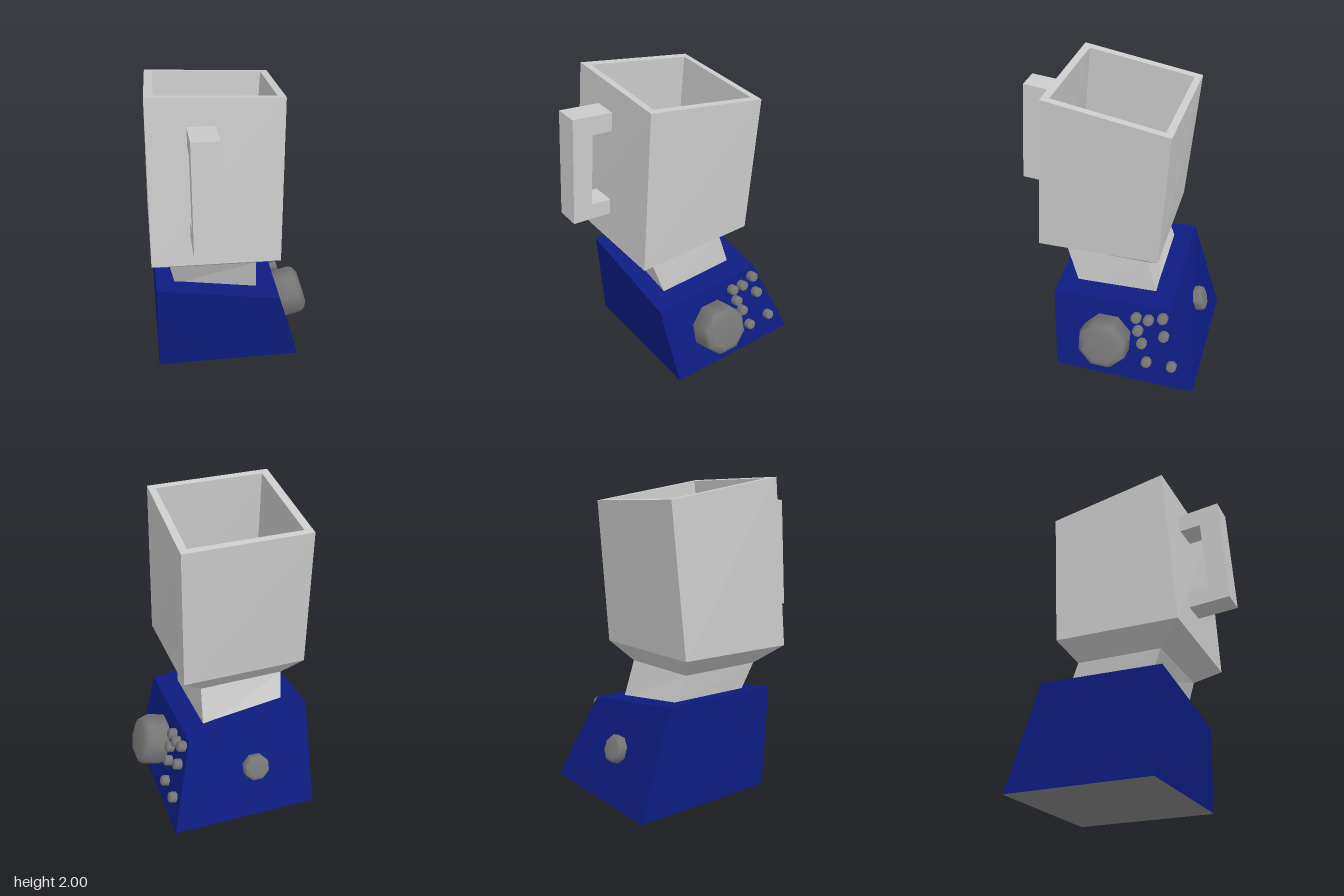
import * as THREE from 'three';

const GREY = new THREE.MeshStandardMaterial({ color: 0xcccccc, flatShading: true });
const BLUE = new THREE.MeshStandardMaterial({ color: 0x0e1c80, flatShading: true });
const DARK = new THREE.MeshStandardMaterial({ color: 0x777777 });
const UNDER = new THREE.MeshStandardMaterial({ color: 0x888888, flatShading: true });

// Skin four-cornered rings (front left, front right, back right, back left as seen from the front).
function loft(rings, capStart, capEnd) {
  const pos = [];
  const quad = (a, b, c, d) => pos.push(...a, ...b, ...c, ...a, ...c, ...d);
  for (let r = 0; r < rings.length - 1; r++) {
    for (let i = 0; i < 4; i++) {
      const j = (i + 1) % 4;
      quad(rings[r][i], rings[r][j], rings[r + 1][j], rings[r + 1][i]);
    }
  }
  if (capStart) quad(...[...rings[0]].reverse());
  if (capEnd) quad(...rings[rings.length - 1]);
  const g = new THREE.BufferGeometry();
  g.setAttribute('position', new THREE.Float32BufferAttribute(pos, 3));
  g.computeVertexNormals();
  return g;
}

// Eight-sided bevelled knob; its axis is +y and its outer face lies at the given height.
function knobGeometry(radius, height, depth) {
  const r = radius / Math.cos(Math.PI / 8);
  const profile = [[0, -depth], [0.7, -depth], [1, -depth * 0.7], [1, height * 0.68],
    [0.9, height * 0.87], [0.67, height], [0, height]]
    .map(([x, y]) => new THREE.Vector2(x * r, y));
  return new THREE.LatheGeometry(profile, 8, Math.PI / 8);
}

export function createModel() {
  const model = new THREE.Group();
  const add = (name, geometry, material, parent = model) => {
    const mesh = new THREE.Mesh(geometry, material);
    mesh.name = name;
    parent.add(mesh);
    return mesh;
  };

  // Motor base with sloping top, right side and back
  const foot = [[-0.535, 0, 0.285], [0.44, 0, 0.285], [0.44, 0, -0.69], [-0.535, 0, -0.69]];
  const baseTop = [[-0.525, 0.66, 0.335], [0.29, 0.53, 0.335], [0.275, 0.55, -0.475], [-0.53, 0.675, -0.475]];
  add('base', loft([foot, baseTop], false, true), BLUE);
  add('baseUnderside', loft([foot], true, false), UNDER);

  // Leaning neck
  const neckLow = [[-0.4, 0.62, 0.2], [0.15, 0.53, 0.2], [0.14, 0.54, -0.355], [-0.405, 0.63, -0.355]];
  const neckTop = [[-0.43, 0.81, 0.285], [0.13, 0.8, 0.285], [0.13, 0.8, -0.275], [-0.43, 0.815, -0.275]];
  add('neck', loft([neckLow, neckTop], true, true), GREY);

  // Open jar: flared foot, outer walls, rim, inner walls and floor
  add('jar', loft([
    neckTop,
    [[-0.548, 0.925, 0.445], [0.265, 0.905, 0.435], [0.272, 0.925, -0.375], [-0.548, 0.94, -0.37]],
    [[-0.535, 2.0, 0.347], [0.275, 1.97, 0.367], [0.294, 1.85, -0.43], [-0.515, 1.88, -0.45]],
    [[-0.48, 1.991, 0.3], [0.23, 1.965, 0.32], [0.245, 1.857, -0.385], [-0.465, 1.884, -0.405]],
    [[-0.5, 1.0, 0.385], [0.19, 0.98, 0.38], [0.2, 0.99, -0.335], [-0.485, 1.01, -0.345]],
  ], false, true), GREY);

  // C-shaped handle, drawn from the side and extruded across the jar front
  const side = [[0.355, 1.817], [0.64, 1.845], [0.69, 1.14], [0.4, 1.118],
    [0.4, 1.222], [0.555, 1.235], [0.515, 1.71], [0.355, 1.698]];
  const handleShape = new THREE.Shape(side.map(([z, y]) => new THREE.Vector2(-z, y)));
  const handle = new THREE.ExtrudeGeometry(handleShape, { depth: 0.165, bevelEnabled: false });
  handle.rotateY(Math.PI / 2).translate(-0.3, 0, 0);
  add('handle', handle, GREY);

  // Knobs and buttons stand square to the sloping faces
  const up = new THREE.Vector3(0, 1, 0);
  const sideNormal = new THREE.Vector3(1, 0.28, 0).normalize();
  const backNormal = new THREE.Vector3(0, 0.35, -1).normalize();
  const place = (mesh, normal, x, y, z) => {
    mesh.quaternion.setFromUnitVectors(up, normal);
    mesh.position.set(x, y, z);
  };
  const sideX = (y) => 0.44 - 0.28 * y;

  place(add('mainKnob', knobGeometry(0.163, 0.166, 0.05), DARK), sideNormal, sideX(0.275), 0.275, -0.06);
  place(add('backKnob', knobGeometry(0.083, 0.07, 0.03), DARK), backNormal, -0.14, 0.325, -0.576);

  const buttons = new THREE.Group();
  buttons.name = 'buttons';
  model.add(buttons);
  const buttonGeometry = knobGeometry(0.034, 0.045, 0.02);
  [[-0.255, 0.46], [-0.34, 0.46], [-0.435, 0.49], [-0.275, 0.37],
    [-0.455, 0.365], [-0.31, 0.285], [-0.355, 0.155], [-0.53, 0.16]].forEach(([z, y]) => {
    place(add('button', buttonGeometry, DARK, buttons), sideNormal, sideX(y), y, z);
  });

  return model;
}
